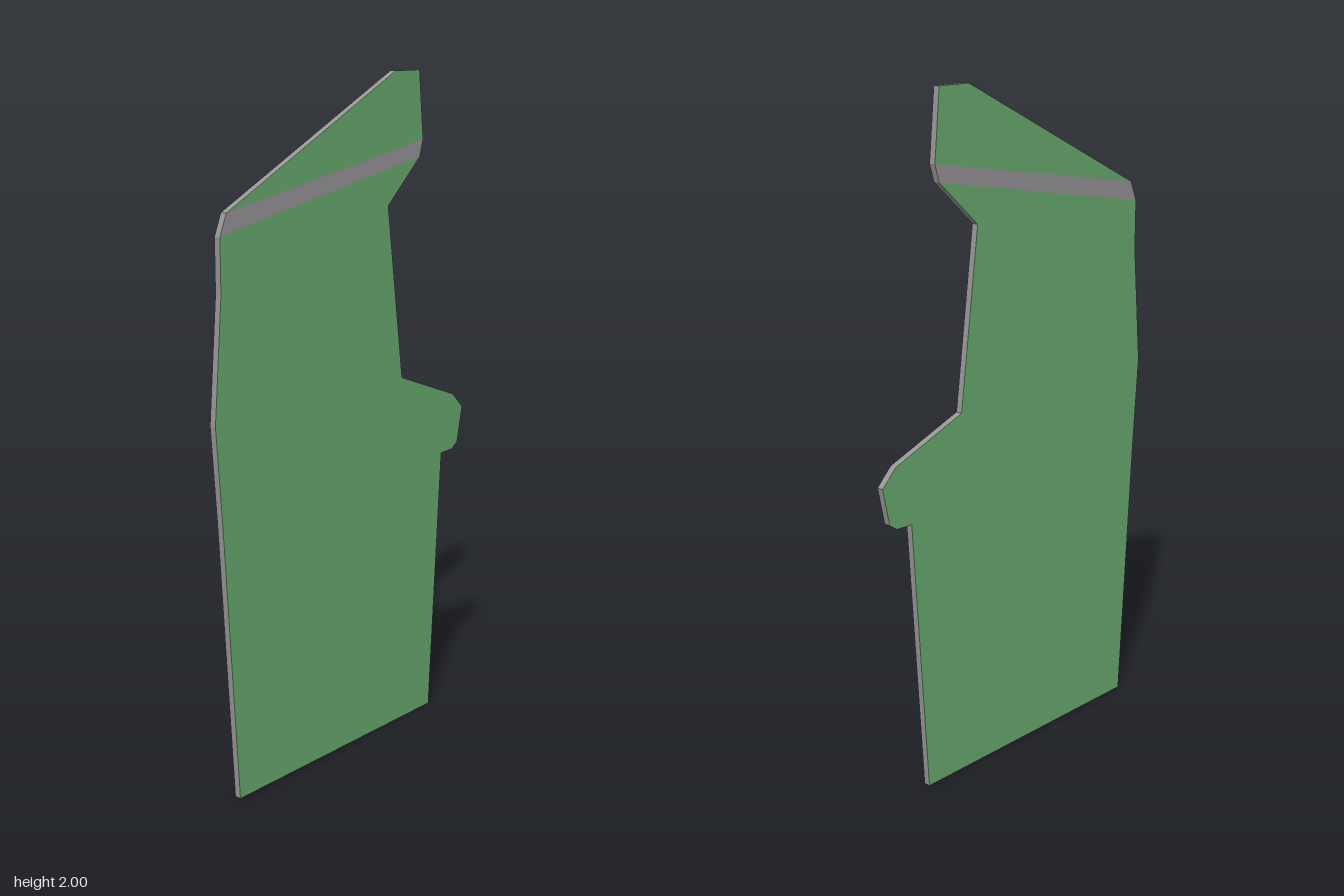
import * as THREE from 'three';

const HALF = 0.01; // half the panel thickness

// Outline pieces as [z, y]; neighbouring pieces share the stripe's corners
const frontLow = [0.52, 1.6], frontHigh = [0.495, 1.66];
const backHigh = [-0.33, 1.8], backLow = [-0.315, 1.75];
const crown = [[-0.2, 2], [-0.31, 2]];
const frontEdge = [[0.48, 0], [0.53, 0.83], [0.55, 1.1], [0.52, 1.45]];
const backEdge = [
  [-0.17, 1.62], [-0.24, 1.1], [-0.495, 1.005], [-0.545, 0.955],
  [-0.522, 0.845], [-0.495, 0.827], [-0.44, 0.825], [-0.39, 0],
];

export function createModel() {
  const green = new THREE.MeshStandardMaterial({ color: 0x68aa6e });
  green.name = 'panel green';
  const grey = new THREE.MeshStandardMaterial({ color: 0x989498 });
  grey.name = 'trim grey';

  const group = new THREE.Group();
  group.name = 'cabinetSidePanel';
  const add = (geometry, material, name) => {
    const mesh = new THREE.Mesh(geometry, material);
    mesh.name = name;
    group.add(mesh);
  };

  // Flat faces on both sides: lower body, stripe and upper section
  const regions = [
    ['lowerFace', green, [...frontEdge, frontLow, backLow, ...backEdge]],
    ['stripe', grey, [frontLow, frontHigh, backHigh, backLow]],
    ['upperFace', green, [frontHigh, ...crown, backHigh]],
  ];
  for (const [name, material, points] of regions) {
    for (const side of [1, -1]) {
      const shape = new THREE.Shape(points.map(([z, y]) => new THREE.Vector2(-side * z, y)));
      const face = new THREE.ShapeGeometry(shape);
      face.rotateY(side * Math.PI / 2).translate(side * HALF, 0, 0);
      add(face, material, name + (side > 0 ? 'Left' : 'Right'));
    }
  }

  // Edge trim running around the whole outline
  const outline = [...frontEdge, frontLow, frontHigh, ...crown, backHigh, backLow, ...backEdge];
  const positions = [];
  outline.forEach(([z0, y0], i) => {
    const [z1, y1] = outline[(i + 1) % outline.length];
    const a = [HALF, y0, z0], b = [HALF, y1, z1];
    const c = [-HALF, y1, z1], d = [-HALF, y0, z0];
    positions.push(...a, ...b, ...c, ...a, ...c, ...d);
  });
  const rim = new THREE.BufferGeometry();
  rim.setAttribute('position', new THREE.Float32BufferAttribute(positions, 3));
  rim.computeVertexNormals();
  add(rim, grey, 'edgeTrim');

  return group;
}
